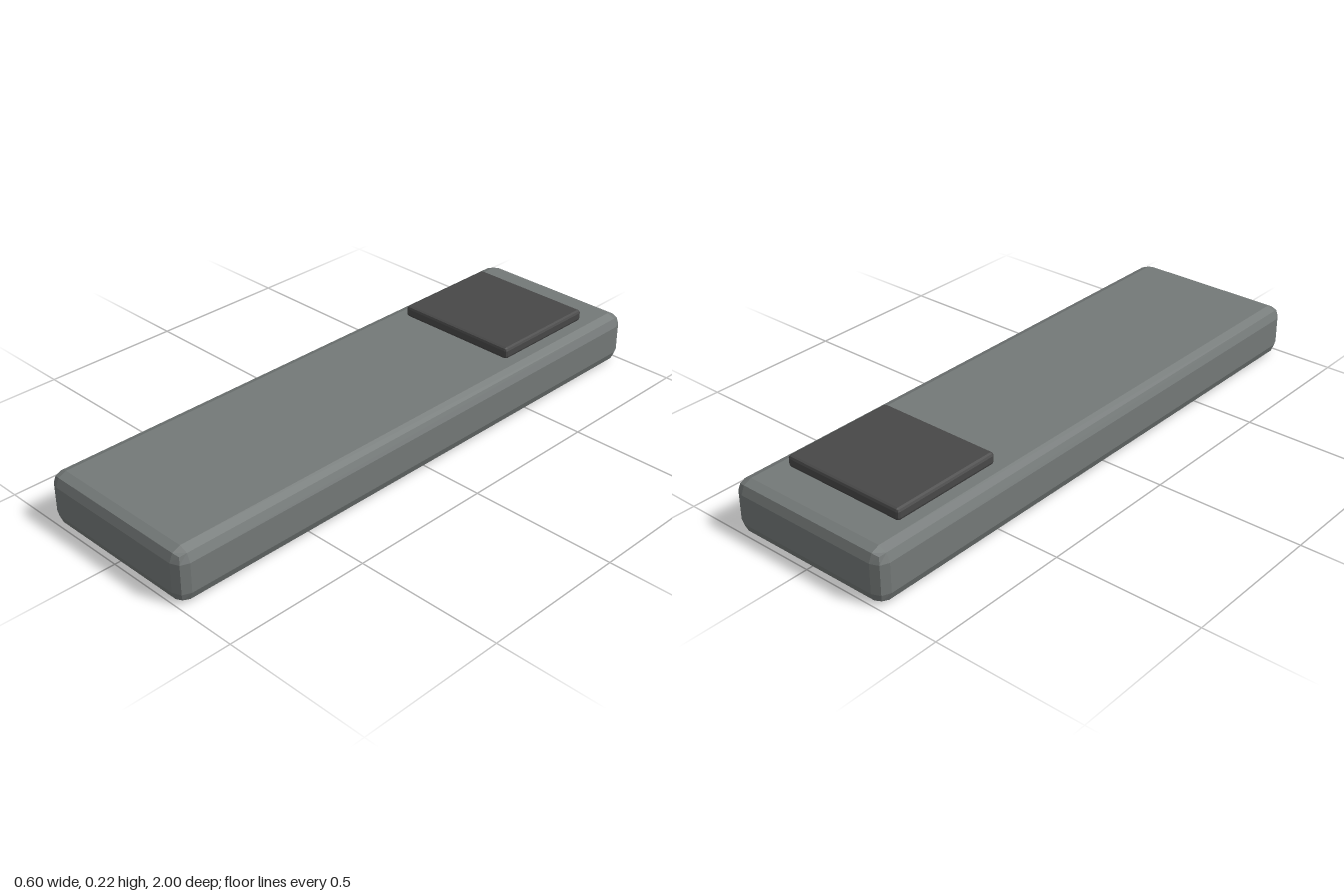
import * as THREE from 'three';
import { RoundedBoxGeometry } from 'three/addons/geometries/RoundedBoxGeometry.js';

function material(name, color) {
  const m = new THREE.MeshStandardMaterial({ color });
  m.name = name;
  return m;
}

// Box with a faceted two-step bevel, standing on the given base height
function bevelledBox(name, [w, h, d], radius, base, z, mat) {
  const geometry = new RoundedBoxGeometry(w, h, d, 1, radius);
  geometry.computeVertexNormals(); // unshared corners give crisp facets
  const mesh = new THREE.Mesh(geometry, mat);
  mesh.name = name;
  mesh.position.set(0, base + h / 2, z);
  return mesh;
}

export function createModel() {
  const group = new THREE.Group();
  group.name = 'slab';
  const grey = material('grey', 0x747978);
  const charcoal = material('charcoal', 0x484848);

  // Long body and the raised pad near its back end
  group.add(bevelledBox('body', [0.6, 0.18, 2], 0.04, 0, 0, grey));
  group.add(bevelledBox('pad', [0.45, 0.04, 0.4], 0.01, 0.18, -0.65, charcoal));
  return group;
}
